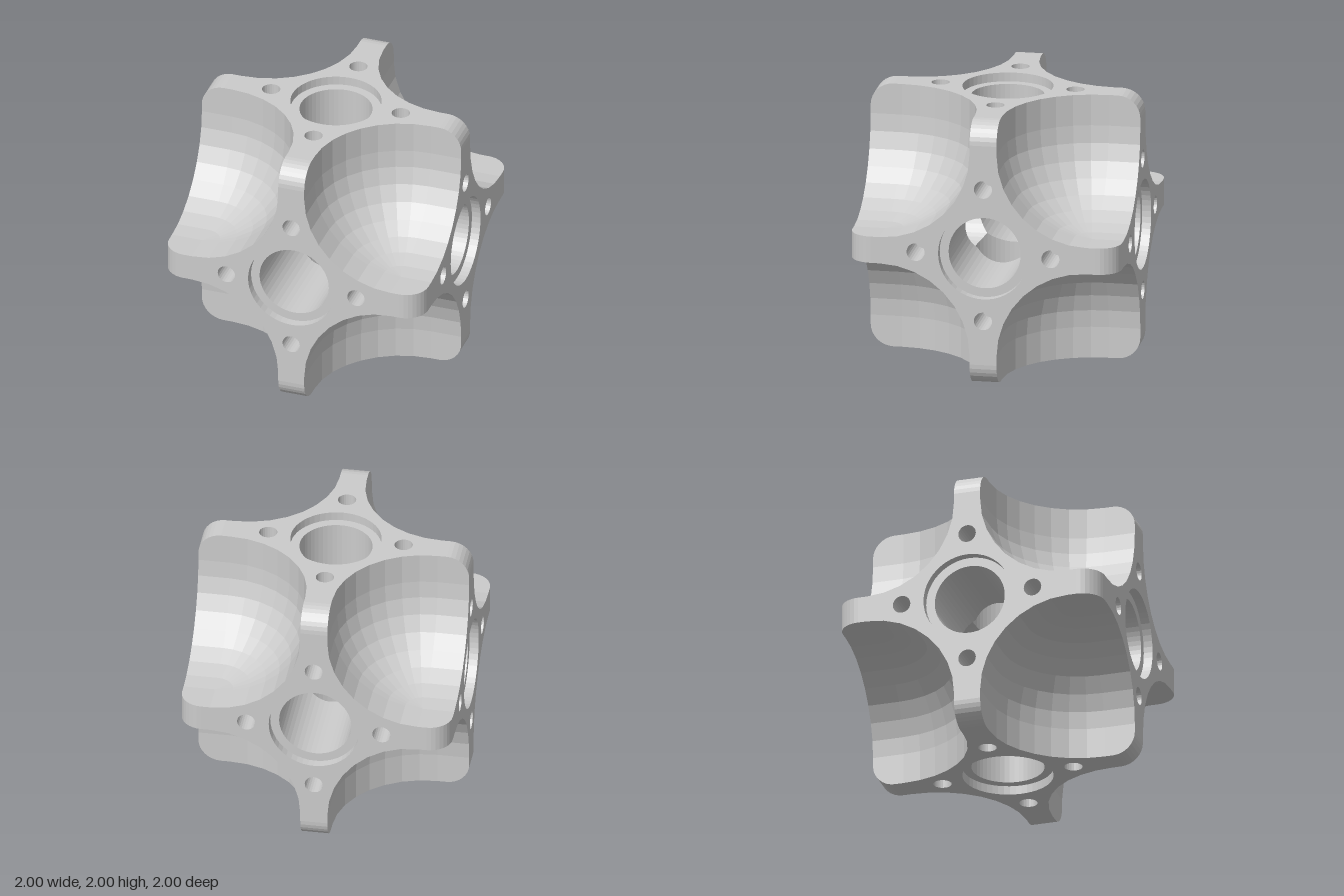
import * as THREE from 'three';

const EDGE = 0.167;           // rounding of the cube's outer edges
const WEB = 0.1;              // half thickness of the webs
const R = 0.667;              // pocket radius
const C = WEB + R;            // pocket centre on each axis
const L = 1 - C;              // straight length of the pocket walls
const BORE = 0.267, SEAT = 0.333, SEAT_DEPTH = 0.067;
const BOLT = 0.067, BOLT_AT = 0.5, BOLT_DEPTH = 0.33;
const H = Math.PI / 2;

const material = new THREE.MeshStandardMaterial({ color: 0xcccccc, flatShading: true });

function mesh(name, geometry) {
  const m = new THREE.Mesh(geometry, material);
  m.name = name;
  return m;
}

function group(name, ...children) {
  const g = new THREE.Group();
  g.name = name;
  if (children.length) g.add(...children);
  return g;
}

// Turn a surface inside out, for the walls of holes and pockets
function inward(geometry) {
  const index = geometry.index, normal = geometry.attributes.normal;
  for (let i = 0; i < index.count; i += 3) {
    const a = index.getX(i);
    index.setX(i, index.getX(i + 2));
    index.setX(i + 2, a);
  }
  for (let i = 0; i < normal.count; i++) {
    normal.setXYZ(i, -normal.getX(i), -normal.getY(i), -normal.getZ(i));
  }
  return geometry;
}

function arc(cx, cy, r, from, to, n) {
  return Array.from({ length: n + 1 }, (_, i) => {
    const a = from + (to - from) * i / n;
    return new THREE.Vector2(cx + r * Math.cos(a), cy + r * Math.sin(a));
  });
}

const circle = (cx, cy, r, n) => new THREE.Path(arc(cx, cy, r, 0, 2 * Math.PI, n).slice(0, n));

// Wall of a round hole running along z
function holeWall(r, z0, z1, n) {
  const g = new THREE.CylinderGeometry(r, r, z1 - z0, n, 1, true);
  return inward(g.rotateX(H).translate(0, 0, (z0 + z1) / 2));
}

// One face of the cube with its bore, bearing seat and bolt holes
function createFace() {
  const face = group('face');
  const outline = [];
  const boltSpots = [];
  for (let k = 0; k < 4; k++) {
    const turn = p => p.rotateAround(new THREE.Vector2(), k * H);
    const quarter = [
      new THREE.Vector2(1 - EDGE, WEB),
      ...arc(C, C, R, -H, -Math.PI, 8),
      new THREE.Vector2(WEB, 1 - EDGE),
    ];
    outline.push(...quarter.map(turn));
    boltSpots.push(turn(new THREE.Vector2(BOLT_AT, 0)));
  }
  const shape = new THREE.Shape(outline);
  shape.holes.push(circle(0, 0, SEAT, 48));
  for (const p of boltSpots) shape.holes.push(circle(p.x, p.y, BOLT, 24));
  face.add(mesh('facePlate', new THREE.ShapeGeometry(shape).translate(0, 0, 1)));

  const ledge = 1 - SEAT_DEPTH;
  face.add(mesh('seatWall', holeWall(SEAT, ledge, 1, 48)));
  face.add(mesh('seatLedge', new THREE.RingGeometry(BORE, SEAT, 48).translate(0, 0, ledge)));

  // The bore's inner end follows its crossing with the other two bores
  const bore = holeWall(BORE, 0, ledge, 48);
  const p = bore.attributes.position;
  for (let i = 0; i < p.count; i++) {
    if (p.getZ(i) < ledge / 2) p.setZ(i, Math.max(Math.abs(p.getX(i)), Math.abs(p.getY(i))));
  }
  face.add(mesh('boreWall', bore));

  for (const s of boltSpots) {
    const hole = group('boltHole',
      mesh('boltHoleWall', holeWall(BOLT, 1 - BOLT_DEPTH, 1, 24)),
      mesh('boltHoleFloor', new THREE.CircleGeometry(BOLT, 24).translate(0, 0, 1 - BOLT_DEPTH)));
    hole.position.set(s.x, s.y, 0);
    face.add(hole);
  }
  return face;
}

// The scooped pocket at the +x +y +z corner
function createPocket() {
  const pocket = group('cornerPocket');
  const bowl = new THREE.SphereGeometry(R, 8, 8, 3 * H, H, H, H);
  pocket.add(mesh('pocketBowl', inward(bowl.translate(C, C, C))));

  const side = new THREE.Shape([
    new THREE.Vector2(C, C),
    new THREE.Vector2(1, C),
    ...arc(1 - EDGE, 1 - EDGE, EDGE, 0, H, 8),
    new THREE.Vector2(C, 1),
  ]);
  const diagonal = new THREE.Vector3(1, 1, 1).normalize();
  for (let k = 0; k < 3; k++) {
    const wall = new THREE.CylinderGeometry(R, R, L, 8, 1, true, Math.PI, H);
    const walls = group('pocketSide',
      mesh('pocketCurvedWall', inward(wall.translate(C, C + L / 2, C))),
      mesh('pocketFlatWall', new THREE.ShapeGeometry(side).translate(0, 0, WEB)));
    walls.quaternion.setFromAxisAngle(diagonal, k * 2 * Math.PI / 3);
    pocket.add(walls);
  }
  return pocket;
}

export function createModel() {
  const model = group('bearingCube');
  model.position.y = 1;

  // Six faces
  const face = createFace();
  const faceTurns = [[0, 0], [0, H], [0, 2 * H], [0, 3 * H], [H, 0], [-H, 0]];
  for (const [rx, ry] of faceTurns) {
    const f = face.clone();
    f.rotation.set(rx, ry, 0);
    model.add(f);
  }

  // Eight corner pockets: four above, four below
  const pocket = createPocket();
  for (const flip of [0, Math.PI]) {
    const ring = group(flip ? 'lowerPockets' : 'upperPockets');
    for (let k = 0; k < 4; k++) {
      const c = pocket.clone();
      c.rotation.y = k * H;
      ring.add(c);
    }
    ring.rotation.x = flip;
    model.add(ring);
  }

  // Twelve rounded web ends: four around each axis
  const end = new THREE.CylinderGeometry(EDGE, EDGE, 2 * WEB, 8, 1, true, 0, H);
  end.translate(1 - EDGE, 0, 1 - EDGE);
  for (const [rx, rz] of [[0, 0], [H, 0], [0, H]]) {
    const ring = group('webEnds');
    for (let k = 0; k < 4; k++) {
      const e = mesh('roundedWebEnd', end);
      e.rotation.y = k * H;
      ring.add(e);
    }
    ring.rotation.set(rx, 0, rz);
    model.add(ring);
  }

  return group('model', model);
}
